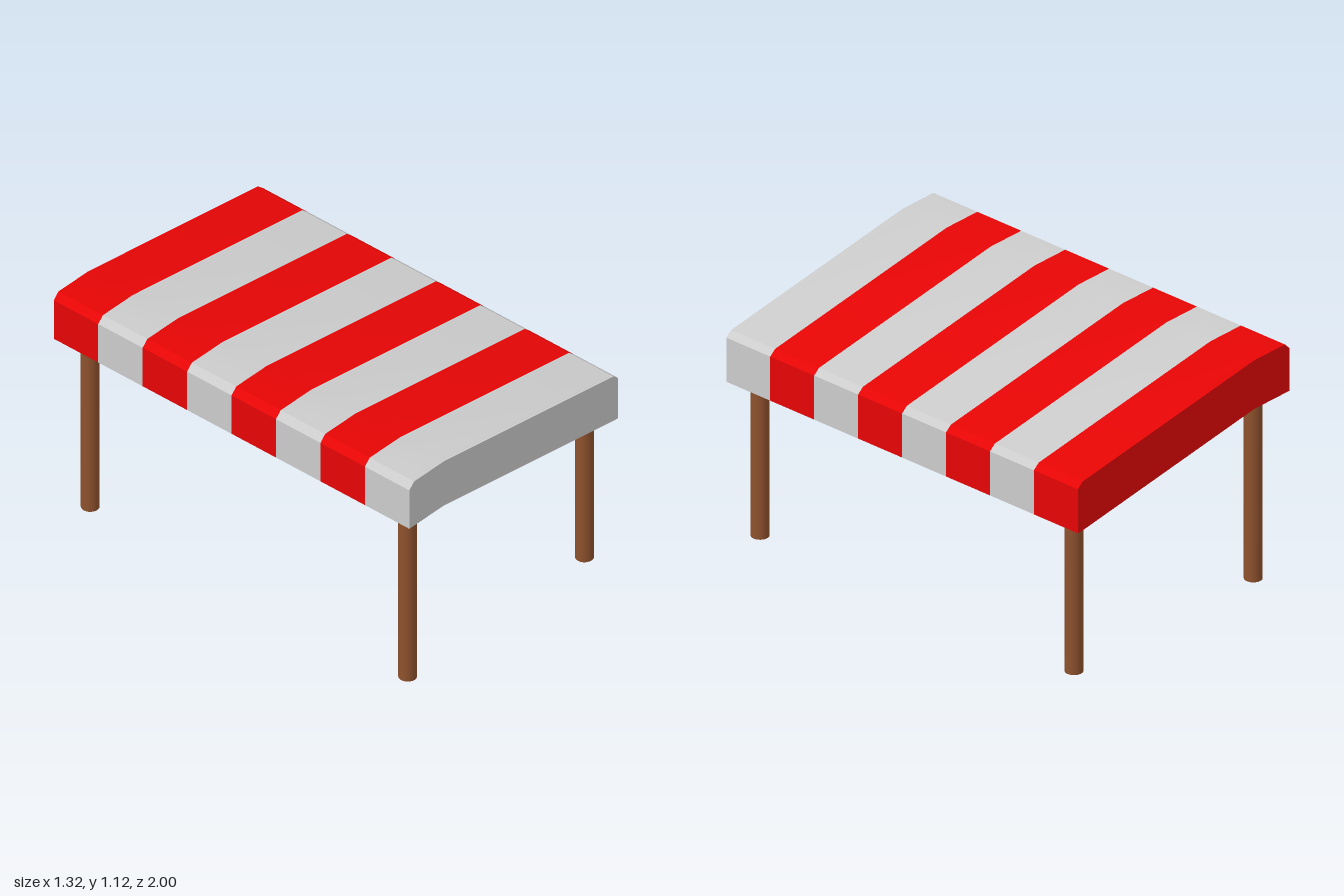
import * as THREE from 'three';
import { toCreasedNormals } from 'three/addons/utils/BufferGeometryUtils.js';

const WALL = 0.027;
const ROOF = 0.055;

// Cross-sections of the canopy, running along z
const outer = [[-0.66, 0.888], [-0.66, 1.09], [-0.63, 1.12], [-0.44, 1.12],
  [0.63, 0.965], [0.66, 0.94], [0.66, 0.73]];
const inner = [[0.66 - WALL, 0.732], [0.66 - WALL, 0.965 - ROOF],
  [-0.44, 1.12 - ROOF], [-0.66 + WALL, 1.12 - ROOF], [-0.66 + WALL, 0.888]];

const toShape = (points) => new THREE.Shape(points.map(([x, y]) => new THREE.Vector2(x, y)));
const shellShape = toShape([...outer, ...inner]);
const panelShape = toShape([...outer, [0.63, 0.732], [-0.44, 0.888]]);

// Extrude a cross-section from z0 to z1, optionally leaving its ends open
function extrude(shape, z0, z1, capped) {
  const g = new THREE.ExtrudeGeometry(shape, { depth: z1 - z0, bevelEnabled: false });
  g.translate(0, 0, z0);
  if (!capped) {
    const start = g.groups[1].start;
    for (const key of ['position', 'normal', 'uv']) {
      const a = g.attributes[key];
      g.setAttribute(key, new THREE.BufferAttribute(a.array.slice(start * a.itemSize), a.itemSize));
    }
  }
  g.clearGroups();
  return toCreasedNormals(g, 0.3);
}

export function createModel() {
  const model = new THREE.Group();
  const red = new THREE.MeshStandardMaterial({ color: 0xe60505 });
  const grey = new THREE.MeshStandardMaterial({ color: 0xcccccc });
  const wood = new THREE.MeshStandardMaterial({ color: 0x8d512d });

  const add = (parent, name, geometry, material) => {
    const mesh = new THREE.Mesh(geometry, material);
    mesh.name = name;
    parent.add(mesh);
    return mesh;
  };

  // Striped hollow canopy, from back to front
  const canopy = new THREE.Group();
  canopy.name = 'canopy';
  model.add(canopy);
  for (let i = 0; i < 8; i++) {
    const z0 = -1 + i * 0.25 + (i === 0 ? WALL : 0);
    const z1 = -0.75 + i * 0.25 - (i === 7 ? WALL : 0);
    add(canopy, 'canopyStripe', extrude(shellShape, z0, z1, false), i % 2 ? grey : red);
  }

  // Panels closing the two ends
  add(canopy, 'backPanel', extrude(panelShape, -1, -1 + WALL, true), red);
  add(canopy, 'frontPanel', extrude(panelShape, 1 - WALL, 1, true), grey);

  // Round posts reaching up to the underside of the canopy
  for (const [name, x, height] of [['tallPost', -0.55, 1.07], ['shortPost', 0.567, 0.93]]) {
    for (const z of [-0.893, 0.893]) {
      const post = add(model, name, new THREE.CylinderGeometry(0.04, 0.04, height, 24), wood);
      post.position.set(x, height / 2, z);
    }
  }
  return model;
}
